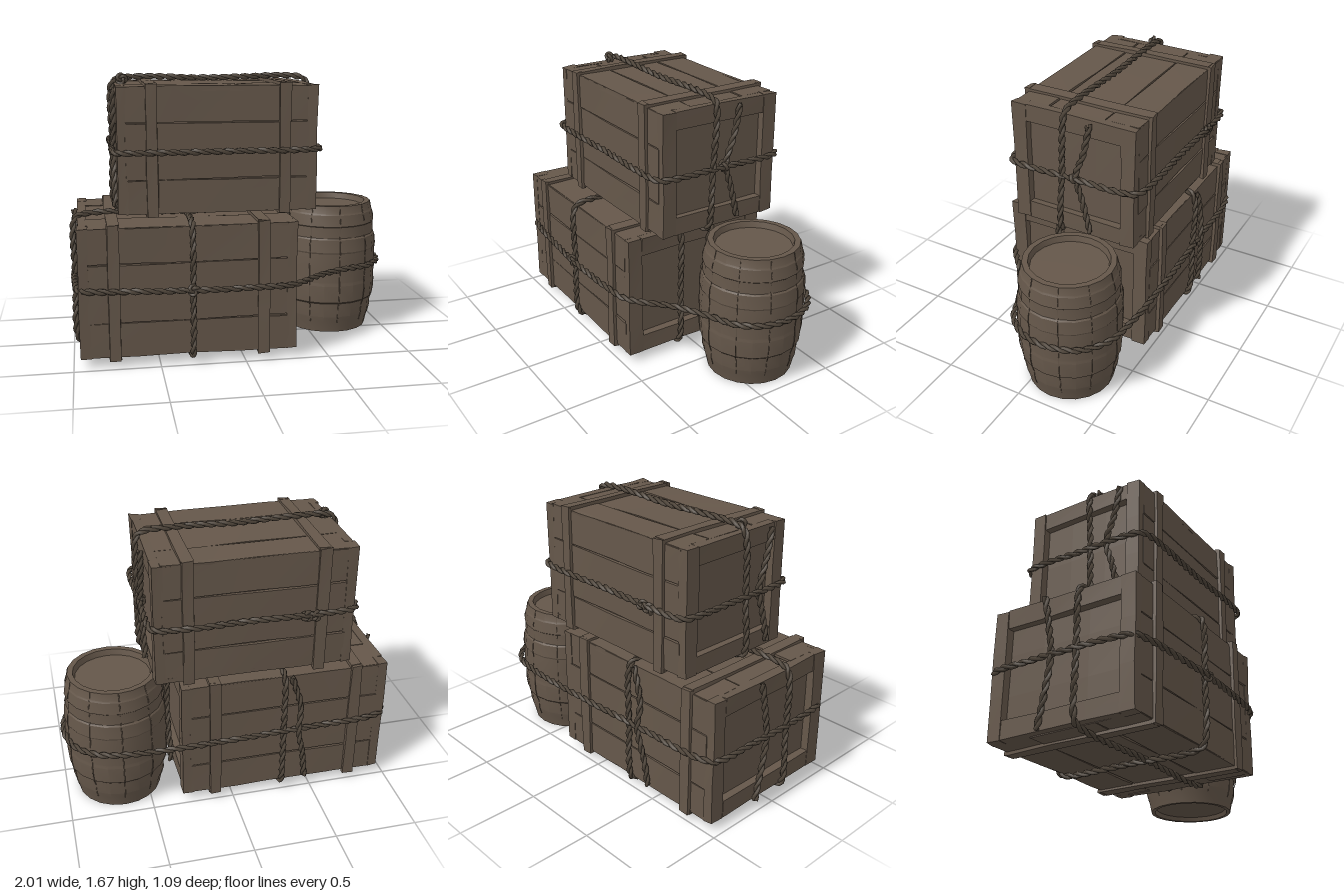
import * as THREE from 'three';
import { toCreasedNormals } from 'three/addons/utils/BufferGeometryUtils.js';

const wood = new THREE.MeshStandardMaterial({ color: 0x65574a });
wood.name = 'weathered wood';
const ropeMat = new THREE.MeshStandardMaterial({ color: 0x51473c });
ropeMat.name = 'old rope';

const V = (x, y, z) => new THREE.Vector3(x, y, z);

function add(parent, name, geo, mat = wood) {
  const mesh = new THREE.Mesh(geo, mat);
  mesh.name = name;
  parent.add(mesh);
  return mesh;
}

// Repeatable wobble from a position, so shared corners stay joined
function wobble(p, k) {
  const s = Math.sin(p.x * 127.1 + p.y * 311.7 + p.z * 74.7 + k * 53.3) * 437.5;
  return (s - Math.floor(s) - 0.5) * 2;
}

// Board between two corners, with slightly uneven edges
function board(parent, name, a, b, rough = 0.004) {
  const size = b.clone().sub(a), mid = a.clone().add(b).multiplyScalar(0.5);
  const n = (v) => Math.max(1, Math.round(v / 0.28));
  let geo = new THREE.BoxGeometry(size.x, size.y, size.z, n(size.x), n(size.y), n(size.z));
  geo.translate(mid.x, mid.y, mid.z);
  const pos = geo.attributes.position, p = new THREE.Vector3(), q = new THREE.Vector3();
  for (let i = 0; i < pos.count; i++) {
    p.fromBufferAttribute(pos, i);
    q.set(Math.round(p.x * 1000) / 1000, Math.round(p.y * 1000) / 1000, Math.round(p.z * 1000) / 1000);
    pos.setXYZ(i, p.x + rough * wobble(q, 1), p.y + rough * wobble(q, 2), p.z + rough * wobble(q, 3));
  }
  geo = toCreasedNormals(geo, 0.5);
  return add(parent, name, geo);
}

function crate(name, lo, hi, strapXs, frameW) {
  const g = new THREE.Group();
  g.name = name;
  const t = 0.03, end = 0.05, gap = 0.004;
  // Core closes the plank gaps and forms the sunken end panels
  board(g, 'core', V(lo.x + end, lo.y + t * 0.6, lo.z + t * 0.6), V(hi.x - end, hi.y - t * 0.6, hi.z - t * 0.6), 0);
  const cuts = [0, 0.27, 0.72, 1];
  const xa = lo.x + end, xb = hi.x - end;
  for (let i = 0; i < 3; i++) {
    const ya = lo.y + (hi.y - lo.y) * cuts[i] + gap, yb = lo.y + (hi.y - lo.y) * cuts[i + 1] - gap;
    const za = lo.z + (hi.z - lo.z) * cuts[i] + gap, zb = lo.z + (hi.z - lo.z) * cuts[i + 1] - gap;
    board(g, 'frontPlank', V(xa, ya, hi.z - t), V(xb, yb, hi.z));
    board(g, 'backPlank', V(xa, ya, lo.z), V(xb, yb, lo.z + t));
    board(g, 'topPlank', V(xa, hi.y - t, za), V(xb, hi.y, zb));
    board(g, 'bottomPlank', V(xa, lo.y, za), V(xb, lo.y + t, zb));
  }
  // Picture-frame boards at both ends
  for (const [x0, x1] of [[lo.x, lo.x + end + 0.01], [hi.x - end - 0.01, hi.x]]) {
    const w = frameW;
    board(g, 'endPost', V(x0, lo.y, lo.z), V(x1, hi.y, lo.z + w));
    board(g, 'endPost', V(x0, lo.y, hi.z - w), V(x1, hi.y, hi.z));
    board(g, 'endRail', V(x0 + 0.004, lo.y, lo.z + w), V(x1 - 0.004, lo.y + w + 0.02, hi.z - w));
    board(g, 'endRail', V(x0 + 0.004, hi.y - w - 0.02, lo.z + w), V(x1 - 0.004, hi.y, hi.z - w));
  }
  // Battens wrapped round the body
  const o = 0.018, h = 0.034;
  for (const x of strapXs) {
    const a = x - h, b = x + h;
    board(g, 'frontBatten', V(a, lo.y - o, hi.z - 0.01), V(b, hi.y + o, hi.z + o));
    board(g, 'backBatten', V(a, lo.y - o, lo.z - o), V(b, hi.y + o, lo.z + 0.01));
    board(g, 'topBatten', V(a, hi.y - 0.01, lo.z), V(b, hi.y + o, hi.z));
    board(g, 'bottomBatten', V(a, lo.y - o, lo.z), V(b, lo.y + 0.01, hi.z));
  }
  return g;
}

// Two strands twisted round a path
function rope(parent, name, points, closed = true) {
  const path = new THREE.CatmullRomCurve3(points, closed, 'centripetal');
  path.arcLengthDivisions = 600;
  const length = path.getLength(), steps = Math.ceil(length / 0.02);
  const frames = path.computeFrenetFrames(steps, closed);
  const turns = Math.max(1, Math.round(length / 0.13));
  const g = new THREE.Group();
  g.name = name;
  for (const phase of [0, Math.PI]) {
    const pts = [];
    for (let i = 0; i < steps + (closed ? 0 : 1); i++) {
      const a = phase + (i / steps) * turns * Math.PI * 2;
      pts.push(path.getPointAt(i / steps)
        .addScaledVector(frames.normals[i], Math.cos(a) * 0.009)
        .addScaledVector(frames.binormals[i], Math.sin(a) * 0.009));
    }
    add(g, 'strand', new THREE.TubeGeometry(new THREE.CatmullRomCurve3(pts, closed), steps, 0.012, 5, closed), ropeMat);
  }
  parent.add(g);
}

// Rounded rectangle of path points, bowed out a little at each mid-side
function ring(a0, a1, b0, b1, place, bow = 0.008) {
  const r = 0.03, am = (a0 + a1) / 2, bm = (b0 + b1) / 2;
  return [[a0 + r, b0], [am, b0 - bow], [a1 - r, b0], [a1, b0 + r], [a1 + bow, bm], [a1, b1 - r],
    [a1 - r, b1], [am, b1 + bow], [a0 + r, b1], [a0, b1 - r], [a0 - bow, bm], [a0, b0 + r]].map(([a, b]) => place(a, b));
}

function knot(parent, x, y, z) {
  const m = add(parent, 'knot', new THREE.TorusKnotGeometry(0.02, 0.011, 40, 5), ropeMat);
  m.position.set(x, y, z);
}

function barrel() {
  const g = new THREE.Group();
  g.name = 'barrel';
  // Bulging body with raised hoops and sunken lids
  const profile = [[0, 0.03], [0.225, 0.03], [0.235, 0.004], [0.258, 0.004], [0.272, 0.07], [0.284, 0.11], [0.29, 0.2],
    [0.301, 0.21], [0.309, 0.32], [0.305, 0.34], [0.312, 0.43], [0.306, 0.53], [0.311, 0.54], [0.303, 0.62],
    [0.295, 0.63], [0.292, 0.7], [0.298, 0.705], [0.286, 0.775], [0.28, 0.785], [0.27, 0.832], [0.236, 0.832], [0.226, 0.795], [0, 0.795]];
  const geo = new THREE.LatheGeometry(profile.map(([r, y]) => new THREE.Vector2(r, y)), 20);
  add(g, 'body', toCreasedNormals(geo, 0.35));
  // Thin stave joints
  for (let i = 0; i < 20; i += 2) {
    const a = (i / 20) * Math.PI * 2;
    const curve = new THREE.CatmullRomCurve3(profile.slice(4, 20).map(([r, y]) => V(Math.sin(a) * r, y, Math.cos(a) * r)));
    add(g, 'staveJoint', new THREE.TubeGeometry(curve, 16, 0.003, 4));
  }
  g.position.set(0.667, 0, -0.17);
  return g;
}

export function createModel() {
  const model = new THREE.Group();
  model.name = 'cargoStack';
  model.add(crate('lowerCrate', V(-0.96, 0.06, -0.48), V(0.31, 0.825, 0.46), [-0.76, 0.11], 0.09));
  model.add(crate('upperCrate', V(-0.72, 0.87, -0.46), V(0.455, 1.605, 0.315), [-0.52, 0.26], 0.085));
  model.add(barrel());

  const ropes = new THREE.Group();
  ropes.name = 'ropes';
  model.add(ropes);

  // Long lashing round the lower crate and the barrel
  const lash = [[-0.95, 0.45], [-0.85, 0.48], [-0.6, 0.5], [-0.31, 0.515], [0.1, 0.5], [0.28, 0.475], [0.36, 0.42], [0.5, 0.29],
    [0.7, 0.17], [0.86, 0.1], [0.96, -0.03], [0.985, -0.2], [0.93, -0.37], [0.8, -0.48], [0.6, -0.52], [0.2, -0.53],
    [-0.4, -0.515], [-0.88, -0.5], [-0.96, -0.46], [-0.978, -0.2], [-0.978, 0.3]];
  rope(ropes, 'longLashing', lash.map(([x, z]) => V(x, 0.455 - 0.012 * x, z)));

  // Loops round the lower crate
  rope(ropes, 'lowerCrossRope', ring(-0.5, 0.485, 0.05, 0.84, (z, y) => V(-0.31, y, z)));
  rope(ropes, 'lowerLengthRope', ring(-0.975, 0.325, 0.05, 0.838, (x, y) => V(x, y, 0.11), 0.004));
  rope(ropes, 'lowerBackRope', [V(-0.35, 0.83, -0.5), V(-0.41, 0.62, -0.51), V(-0.4, 0.46, -0.525), V(-0.44, 0.25, -0.51), V(-0.46, 0.08, -0.5)], false);
  for (const x of [-0.975, 0.325]) {
    rope(ropes, 'lowerEndRope', [V(x, 0.83, -0.12), V(x, 0.62, -0.08), V(x, 0.46, -0.06), V(x, 0.25, -0.09), V(x, 0.06, -0.13)], false);
  }

  // Loops round the upper crate
  rope(ropes, 'upperGirthRope', ring(-0.73, 0.468, -0.485, 0.345, (x, z) => V(x, 1.232, z)));
  rope(ropes, 'upperLengthRope', ring(-0.73, 0.468, 0.855, 1.632, (x, y) => V(x, y, -0.01 - (y - 1.23) * 0.05), 0.003));
  for (const x of [-0.732, 0.47]) {
    const s = x > 0 ? 1 : -1;
    rope(ropes, 'upperEndRope', [V(x, 1.59, -0.19 * s), V(x, 1.4, -0.15 * s), V(x, 1.24, -0.1 * s), V(x, 1.1, -0.14 * s), V(x, 0.9, -0.19 * s)], false);
  }

  // Knots where ropes cross or end
  knot(ropes, -0.31, 0.46, 0.515);
  knot(ropes, -0.42, 1.225, -0.495);
  knot(ropes, -0.47, 1.22, -0.495);
  knot(ropes, -0.67, 1.632, 0.0);
  knot(ropes, 0.468, 1.235, -0.09);
  return model;
}
